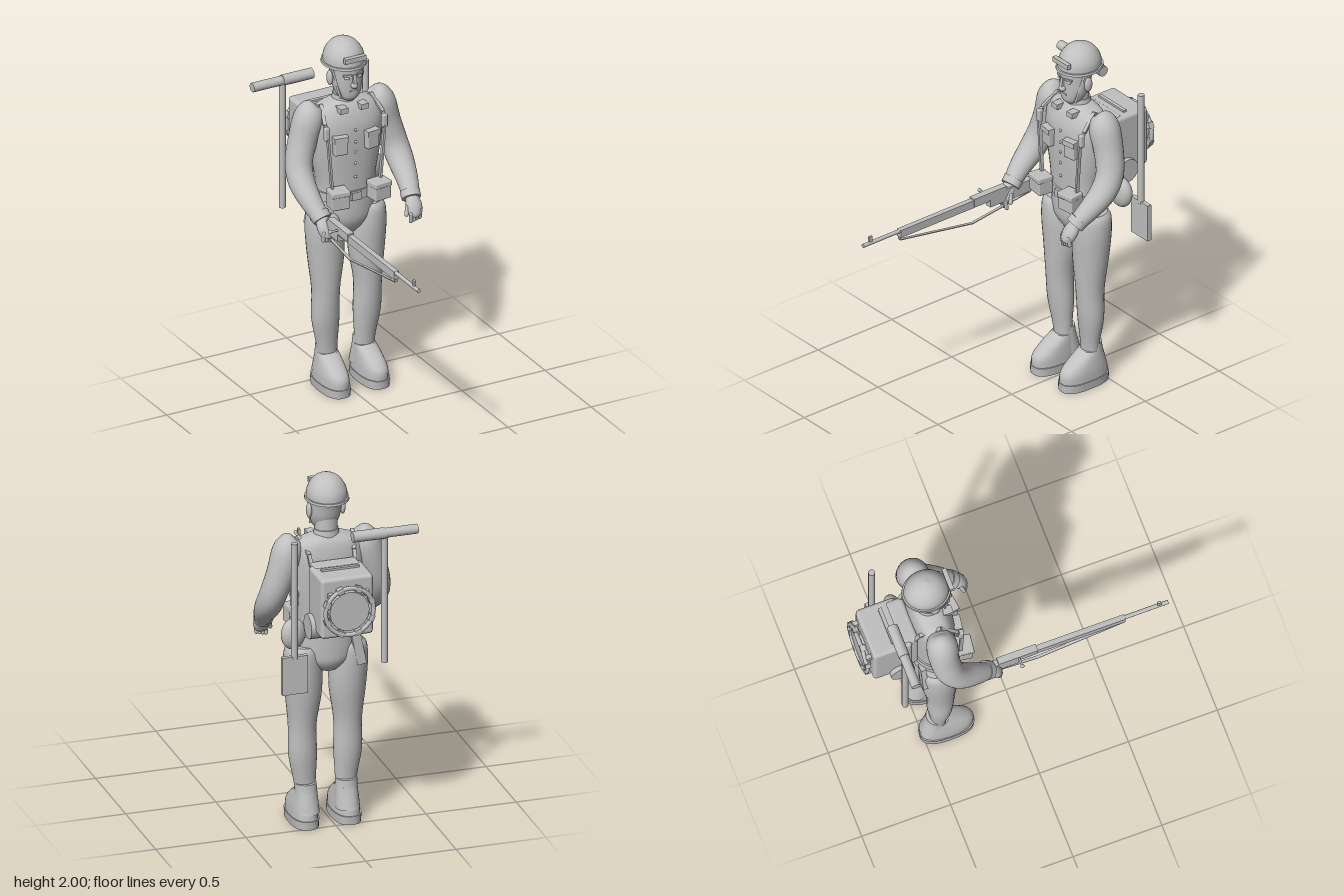
import * as THREE from 'three';
import { RoundedBoxGeometry } from 'three/addons/geometries/RoundedBoxGeometry.js';

const CX = 0.03; // the figure's own mirror plane

export function createModel() {
  const group = new THREE.Group();
  const clay = new THREE.MeshStandardMaterial({ color: 0xc0c0c0 });
  const V = (x, y, z) => new THREE.Vector3(x, y, z);

  function add(name, geometry, x = 0, y = 0, z = 0, rx = 0, ry = 0, rz = 0) {
    const mesh = new THREE.Mesh(geometry, clay);
    mesh.name = name;
    mesh.position.set(x, y, z);
    mesh.rotation.set(rx, ry, rz);
    group.add(mesh);
    return mesh;
  }
  const box = (name, w, h, d, ...at) => add(name, new THREE.BoxGeometry(w, h, d), ...at);
  const rod = (name, r, len, ...at) => add(name, new THREE.CylinderGeometry(r, r, len, 16), ...at);
  const ball = (name, rx, ry, rz, ...at) => {
    const m = add(name, new THREE.SphereGeometry(1, 20, 14), ...at);
    m.scale.set(rx, ry, rz);
    return m;
  };
  const both = (fn) => [-1, 1].forEach((s) => fn(s, s < 0 ? 'right' : 'left'));

  // Straight bar of rectangular section between two points
  function bar(name, a, b, w, d) {
    const m = box(name, w, d, a.distanceTo(b));
    m.position.copy(a).lerp(b, 0.5);
    m.lookAt(b);
  }

  // Smooth skin over elliptical sections [x, y, z, ra, rb]
  function loft(name, rows, { level = true, power = 2, steps = 4, n = 28 } = {}) {
    const last = (rows.length - 1) * steps;
    const sections = [];
    for (let i = 0; i <= last; i++) {
      const k = Math.min(Math.floor(i / steps), rows.length - 2);
      const t = i / steps - k;
      const at = (j) => rows[Math.max(0, Math.min(rows.length - 1, j))];
      sections.push(rows[0].map((_, c) => {
        const [p, a, b, q] = [at(k - 1)[c], at(k)[c], at(k + 1)[c], at(k + 2)[c]];
        return 0.5 * (2 * a + (b - p) * t + (2 * p - 5 * a + 4 * b - q) * t * t + (3 * a - p - 3 * b + q) * t * t * t);
      }));
    }
    const pos = [], index = [];
    const rings = sections.map((s, i) => {
      const p = sections[Math.max(0, i - 1)], q = sections[Math.min(last, i + 1)];
      const dir = level ? V(0, Math.sign(q[1] - p[1]), 0) : V(q[0] - p[0], q[1] - p[1], q[2] - p[2]).normalize();
      const u = V(1, 0, 0).addScaledVector(dir, -dir.x).normalize();
      const v = dir.clone().cross(u);
      return Array.from({ length: n }, (_, j) => {
        const a = j / n * Math.PI * 2, c = Math.cos(a), d = Math.sin(a), e = 2 / power;
        return V(s[0], s[1], s[2])
          .addScaledVector(u, Math.sign(c) * Math.abs(c) ** e * Math.max(0.001, s[3]))
          .addScaledVector(v, Math.sign(d) * Math.abs(d) ** e * Math.max(0.001, s[4]));
      });
    });
    rings.forEach((r, i) => r.forEach((p, j) => {
      pos.push(p.x, p.y, p.z);
      if (i === last) return;
      const a = i * n + j, b = i * n + (j + 1) % n;
      index.push(a, b, a + n, b, b + n, a + n);
    }));
    for (const end of [0, last]) { // flat caps
      const start = pos.length / 3, s = sections[end];
      rings[end].forEach((p) => pos.push(p.x, p.y, p.z));
      pos.push(s[0], s[1], s[2]);
      for (let j = 0; j < n; j++) {
        const a = start + j, b = start + (j + 1) % n;
        index.push(...(end ? [a, b, start + n] : [b, a, start + n]));
      }
    }
    const g = new THREE.BufferGeometry();
    g.setAttribute('position', new THREE.Float32BufferAttribute(pos, 3));
    g.setIndex(index);
    g.computeVertexNormals();
    return add(name, g);
  }

  // Body
  loft('torso', [[CX, 1.1, -0.42, 0.168, 0.105], [CX, 1.2, -0.42, 0.168, 0.108], [CX, 1.35, -0.42, 0.195, 0.113],
    [CX, 1.5, -0.42, 0.212, 0.113], [CX, 1.58, -0.425, 0.205, 0.1], [CX, 1.63, -0.43, 0.165, 0.08],
    [CX, 1.66, -0.43, 0.07, 0.055]], { power: 2.3 });
  loft('pelvis', [[CX, 0.89, -0.425, 0.06, 0.07], [CX, 0.94, -0.425, 0.13, 0.1], [CX, 1.0, -0.42, 0.165, 0.11],
    [CX, 1.13, -0.42, 0.165, 0.107]]);
  loft('neck', [[CX, 1.6, -0.43, 0.062, 0.056], [CX, 1.78, -0.425, 0.06, 0.054]]);
  loft('collar', [[CX, 1.62, -0.43, 0.075, 0.068], [CX, 1.685, -0.43, 0.065, 0.06]]);

  // Head and face
  loft('head', [[CX, 1.665, -0.38, 0.03, 0.03], [CX, 1.69, -0.388, 0.06, 0.058], [CX, 1.75, -0.403, 0.082, 0.078],
    [CX, 1.82, -0.41, 0.089, 0.087], [CX, 1.89, -0.42, 0.095, 0.1]]);
  box('noseBridge', 0.018, 0.05, 0.03, CX, 1.8, -0.325, -0.2);
  ball('noseTip', 0.02, 0.018, 0.02, CX, 1.765, -0.32);
  box('mouth', 0.045, 0.007, 0.01, CX, 1.73, -0.329);
  both((s, side) => {
    ball(side + 'Ear', 0.015, 0.042, 0.025, CX + s * 0.093, 1.79, -0.42);
    box(side + 'Brow', 0.045, 0.01, 0.02, CX + s * 0.036, 1.825, -0.334, 0, s * 0.3);
    ball(side + 'Eye', 0.016, 0.008, 0.01, CX + s * 0.036, 1.808, -0.333);
    bar(side + 'ChinStrap', V(CX + s * 0.092, 1.87, -0.4), V(CX + s * 0.062, 1.69, -0.355), 0.012, 0.012);
  });

  // Helmet
  loft('helmetDome', [[CX, 1.865, -0.437, 0.108, 0.122], [CX, 1.91, -0.437, 0.105, 0.117], [CX, 1.955, -0.437, 0.083, 0.092],
    [CX, 1.985, -0.437, 0.05, 0.055], [CX, 2.0, -0.437, 0.004, 0.004]], { n: 36 });
  loft('helmetBrim', [[CX, 1.858, -0.437, 0.118, 0.133], [CX, 1.872, -0.437, 0.116, 0.131]], { n: 36, steps: 1 });
  box('helmetPlate', 0.125, 0.028, 0.025, CX, 1.92, -0.315);

  // Legs, boots and arms
  both((s, side) => {
    const X = (d) => CX + s * d;
    loft(side + 'Leg', [[X(0.13), 1.035, -0.42, 0.07, 0.085], [X(0.132), 1.0, -0.418, 0.092, 0.104],
      [X(0.127), 0.9, -0.415, 0.104, 0.106], [X(0.122), 0.75, -0.412, 0.098, 0.095], [X(0.126), 0.57, -0.405, 0.076, 0.077],
      [X(0.125), 0.4, -0.41, 0.077, 0.067], [X(0.115), 0.25, -0.413, 0.06, 0.048], [X(0.11), 0.15, -0.415, 0.053, 0.043]]);
    loft(side + 'Sole', [[X(0.117), 0, -0.368, 0.074, 0.15], [X(0.117), 0.048, -0.368, 0.077, 0.153]], { power: 2.6, steps: 1 });
    loft(side + 'Boot', [[X(0.117), 0.048, -0.368, 0.073, 0.149], [X(0.117), 0.1, -0.367, 0.071, 0.143],
      [X(0.115), 0.15, -0.387, 0.065, 0.11], [X(0.112), 0.2, -0.42, 0.058, 0.062]], { power: 2.3 });
    loft(side + 'Gaiter', [[X(0.112), 0.08, -0.445, 0.066, 0.072], [X(0.112), 0.18, -0.43, 0.06, 0.057],
      [X(0.113), 0.24, -0.428, 0.057, 0.05]]);

    loft(side + 'Sleeve', [[X(0.185), 1.66, -0.43, 0.012, 0.012], [X(0.195), 1.645, -0.43, 0.055, 0.055],
      [X(0.215), 1.58, -0.43, 0.082, 0.083], [X(0.25), 1.46, -0.43, 0.078, 0.08], [X(0.285), 1.34, -0.41, 0.073, 0.076],
      [X(0.296), 1.25, -0.355, 0.071, 0.07], [X(0.288), 1.17, -0.265, 0.058, 0.058],
      [X(0.27), 1.105, -0.19, 0.046, 0.045]], { level: false });
    loft(side + 'Cuff', [[X(0.274), 1.128, -0.213, 0.054, 0.053], [X(0.268), 1.1, -0.184, 0.052, 0.05]], { level: false, steps: 1 });
    loft(side + 'Hand', [[X(0.27), 1.11, -0.19, 0.032, 0.032], [X(0.268), 1.07, -0.158, 0.045, 0.035],
      [X(0.262), 1.03, -0.138, 0.038, 0.03], [X(0.26), 1.015, -0.135, 0.02, 0.02]], { level: false });
    for (let i = 0; i < 4; i++) {
      add(side + 'Finger', new THREE.CapsuleGeometry(0.011, 0.045, 4, 8), X(0.236 + i * 0.018), 1.015 + 0.004 * i, -0.13, 0.15);
    }
    add(side + 'Thumb', new THREE.CapsuleGeometry(0.012, 0.04, 4, 8), X(0.222), 1.05, -0.15, -0.3, 0, s * -0.3);

    // Front equipment
    box(side + 'CollarTab', 0.045, 0.03, 0.06, X(0.062), 1.628, -0.345);
    add(side + 'ChestPocket', new RoundedBoxGeometry(0.075, 0.1, 0.045, 2, 0.006), X(0.094), 1.44, -0.305, 0, s * 0.15);
    box(side + 'PocketFlap', 0.08, 0.03, 0.05, X(0.094), 1.48, -0.302, 0, s * 0.15);
    add(side + 'AmmoPouch', new RoundedBoxGeometry(0.1, 0.085, 0.085, 2, 0.006), X(0.123), 1.142, -0.275, 0, s * 0.12);
    add(side + 'PouchFlap', new RoundedBoxGeometry(0.106, 0.03, 0.092, 2, 0.006), X(0.123), 1.188, -0.272, 0, s * 0.12);
    const strap = [V(X(0.145), 1.19, -0.3), V(X(0.17), 1.5, -0.3), V(X(0.175), 1.57, -0.325),
      V(X(0.15), 1.645, -0.41), V(X(0.125), 1.58, -0.52), V(X(0.12), 1.5, -0.56)];
    strap.slice(1).forEach((p, i) => bar(side + 'ShoulderStrap', strap[i], p, 0.02, 0.012));
    add(side + 'StrapPad', new RoundedBoxGeometry(0.03, 0.075, 0.03, 2, 0.008), X(0.174), 1.525, -0.307);
  });
  for (const y of [1.235, 1.315, 1.38, 1.44, 1.51]) ball('button', 0.008, 0.008, 0.008, CX, y, -0.306);

  // Belt, canteen and scabbard
  loft('belt', [[CX, 1.1, -0.42, 0.176, 0.117], [CX, 1.152, -0.42, 0.176, 0.117]], { steps: 1, power: 2.2 });
  box('buckle', 0.055, 0.045, 0.02, CX, 1.127, -0.3);
  ball('canteen', 0.07, 0.087, 0.046, 0.25, 1.15, -0.54, 0, 0.15);
  rod('canteenCap', 0.018, 0.03, 0.245, 1.235, -0.54);
  bar('canteenStrap', V(0.2, 1.42, -0.47), V(0.235, 1.22, -0.54), 0.015, 0.008);
  box('scabbard', 0.05, 0.19, 0.03, -0.12, 1.01, -0.51, 0, 0, -0.2);

  // Backpack with bedroll and round mess tin
  add('pack', new RoundedBoxGeometry(0.29, 0.34, 0.22, 3, 0.02), CX, 1.37, -0.675);
  add('packFrontPanel', new RoundedBoxGeometry(0.26, 0.34, 0.1, 3, 0.02), CX, 1.375, -0.575);
  box('packTopStrap', 0.21, 0.012, 0.02, CX, 1.545, -0.66);
  rod('bedroll', 0.068, 0.34, CX, 1.22, -0.63, 0, 0, Math.PI / 2);
  add('tinRim', new THREE.TorusGeometry(0.133, 0.012, 10, 40), CX, 1.36, -0.819);
  rod('tinBase', 0.11, 0.03, CX, 1.36, -0.805, Math.PI / 2);
  for (let i = 0; i < 8; i++) {
    const a = (i + 0.5) * Math.PI / 4;
    box('rimClip', 0.03, 0.034, 0.03, CX + Math.cos(a) * 0.131, 1.36 + Math.sin(a) * 0.131, -0.814, 0, 0, a);
  }
  both((s, side) => box(side + 'TinBracket', 0.025, 0.03, 0.035, CX + s * 0.1, 1.45, -0.797));

  // Spade and pick
  rod('spadeHandle', 0.018, 0.66, 0.28, 1.385, -0.65);
  box('spadeBlade', 0.14, 0.215, 0.025, 0.28, 0.963, -0.65);
  rod('pickHandle', 0.018, 0.74, -0.22, 1.34, -0.65);
  rod('pickHeadOuter', 0.026, 0.18, -0.31, 1.71, -0.655, 0, 0, Math.PI / 2);
  rod('pickHeadInner', 0.03, 0.18, -0.13, 1.71, -0.655, 0, 0, Math.PI / 2);

  // Rifle
  const RX = -0.22;
  rod('barrel', 0.011, 0.5, RX, 1.112, 0.58, Math.PI / 2);
  box('frontSight', 0.012, 0.035, 0.02, RX, 1.135, 0.78);
  box('foreEnd', 0.03, 0.045, 0.6, RX, 1.099, 0.285);
  box('receiver', 0.04, 0.045, 0.22, RX, 1.108, -0.02);
  box('stock', 0.036, 0.07, 0.3, RX, 1.075, -0.17);
  rod('boltHandle', 0.006, 0.06, RX - 0.035, 1.11, -0.015, 0, 0, Math.PI / 2);
  ball('boltKnob', 0.011, 0.011, 0.011, RX - 0.065, 1.11, -0.015);
  const sling = [V(RX, 1.075, 0.583), V(RX, 1.06, 0.583), V(RX, 0.977, 0.09), V(RX, 1.03, -0.3), V(RX, 1.06, -0.3)];
  sling.slice(1).forEach((p, i) => bar('sling', sling[i], p, 0.016, 0.005));

  return group;
}
